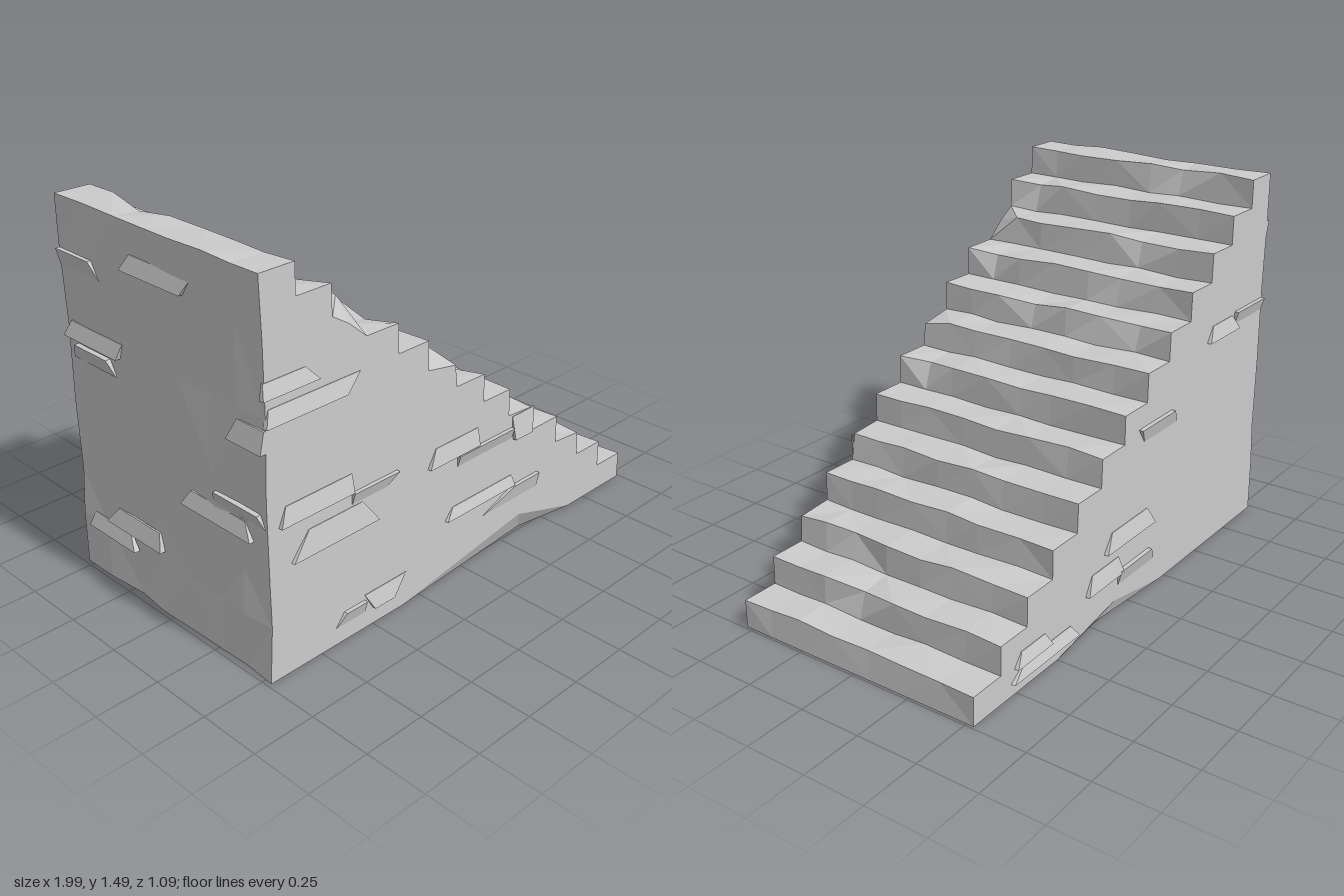
import * as THREE from 'three';

const STEPS = 13, RUN = 0.152, RISE = 0.1143, X0 = 0.99, BACK = -0.985, Z = 0.53;

// small seeded generator for the wear of the stone
function seeded(seed) {
  return () => {
    seed = (seed * 16807) % 2147483647;
    return seed / 2147483647;
  };
}

function toGeometry(tris) {
  const g = new THREE.BufferGeometry();
  g.setFromPoints(tris);
  g.computeVertexNormals();
  return g;
}

// adds a triangle turned to face the hint direction
function addFacing(tris, a, b, c, hint) {
  const n = b.clone().sub(a).cross(c.clone().sub(a));
  if (n.dot(hint) < 0) tris.push(a, c, b);
  else tris.push(a, b, c);
}

// flat polygon: outline in 2D, lifted to 3D by a function
function addPolygon(tris, outline, lift, hint) {
  for (const [a, b, c] of THREE.ShapeUtils.triangulateShape(outline, []))
    addFacing(tris, lift(outline[a]), lift(outline[b]), lift(outline[c]), hint);
}

// worn stair profile at every station across the width
function makeStations() {
  const rnd = seeded(4711);
  const zs = [Z, 0.4, 0.27, 0.1, -0.06, -0.2, -0.38, -Z];
  const chips = { 10: [0.08, 0.045], 7: [0.012, 0.025], 4: [0.02, 0.01], 2: [0.01, 0.012] };
  return zs.map((z, k) => {
    const end = k === 0 || k === zs.length - 1;
    const pts = [new THREE.Vector3(X0, 0, z)];
    for (let i = 0; i < STEPS; i++) {
      const deep = !end && rnd() > 0.88;
      let dx = rnd() * (end ? 0.004 : 0.014) + (deep ? 0.025 : 0);
      let dy = (rnd() - 0.4) * (end ? 0.003 : 0.013) + (deep ? 0.012 : 0);
      if (k === 0 && chips[i]) [dx, dy] = chips[i];
      const x = X0 - i * RUN, y = (i + 1) * RISE;
      pts.push(new THREE.Vector3(x - dx, y - dy, z));
      // inner corner, or the rear edge of the top step
      const last = i === STEPS - 1;
      pts.push(new THREE.Vector3(last ? BACK + rnd() * 0.015 : x - RUN, y + (end ? 0 : (rnd() - 0.5) * 0.012), z));
    }
    for (const y of [1.27, 1.0, 0.7, 0.4, 0.22, 0])
      pts.push(new THREE.Vector3(BACK + (y === 0 && end ? 0 : rnd() * 0.018), y, z));
    return pts;
  });
}

function makeBody() {
  const tris = [], st = makeStations(), n = st[0].length;
  // treads, risers and rear wall
  for (let k = 0; k < st.length - 1; k++)
    for (let j = 0; j < n - 1; j++) {
      const a = st[k][j], b = st[k][j + 1], c = st[k + 1][j + 1], d = st[k + 1][j];
      if ((j + k) % 3) tris.push(a, d, c, a, c, b);
      else tris.push(a, d, b, d, c, b);
    }
  // side walls, each with a broken-out dent along the base
  const dents = [
    { row: st[0], s: 1, a: [-0.35, 0], p: [0.32, 0.1], b: [0.65, 0], i: [0.38, 0.045] },
    { row: st[st.length - 1], s: -1, a: [-0.22, 0], p: [0.12, 0.06], b: [0.5, 0], i: [0.2, 0.03] },
  ];
  const base = [];
  for (const { row, s, a, p, b, i } of dents) {
    const outline = row.map((v) => new THREE.Vector2(v.x, v.y));
    outline.push(...[a, p, b].map((q) => new THREE.Vector2(...q)));
    addPolygon(tris, outline, (v) => new THREE.Vector3(v.x, v.y, s * Z), new THREE.Vector3(0, 0, s));
    const [A, P, B] = [a, p, b].map((q) => new THREE.Vector3(q[0], q[1], s * Z));
    const I = new THREE.Vector3(i[0], 0, s * (Z - i[1]));
    const hint = new THREE.Vector3(0, -0.5, s);
    addFacing(tris, A, I, P, hint);
    addFacing(tris, I, B, P, hint);
    base.push([A, I, B]);
  }
  // underside
  const rim = [st[0][0], ...base[0].slice().reverse(), ...st.map((r) => r[n - 1]), ...base[1], st[st.length - 1][0]];
  addPolygon(tris, rim.map((v) => new THREE.Vector2(v.x, v.z)),
    (v) => new THREE.Vector3(v.x, 0, v.y), new THREE.Vector3(0, -1, 0));
  return toGeometry(tris);
}

// wedge-shaped stone: bottom x0..x1 at y0, top x2..x3 at y1; one long edge stands out
function makeStone([x0, x1, y0, x2, x3, y1, topOut = 0], depth) {
  const q = [[x0, y0], [x1, y0], [x3, y1], [x2, y1]];
  const f = q.map(([x, y], i) => new THREE.Vector3(x, y, (i < 2) !== !!topOut ? depth : 0.002));
  const r = q.map(([x, y]) => new THREE.Vector3(x, y, -0.005));
  const tris = [f[0], f[1], f[2], f[0], f[2], f[3]];
  for (let i = 0; i < 4; i++) {
    const j = (i + 1) % 4;
    tris.push(r[i], r[j], f[j], r[i], f[j], f[i]);
  }
  return toGeometry(tris);
}

const FRONT = [
  [-0.99, -0.75, 1.07, -0.98, -0.8, 1.125], [-0.98, -0.63, 0.97, -0.96, -0.56, 1.03],
  [-0.93, -0.6, 0.59, -0.9, -0.6, 0.66], [-0.6, -0.43, 0.54, -0.6, -0.38, 0.585, 1],
  [-0.88, -0.48, 0.435, -0.8, -0.55, 0.53], [-0.22, 0.05, 0.52, -0.18, 0.05, 0.59],
  [-0.06, 0.25, 0.47, -0.06, 0.25, 0.515, 1], [0.26, 0.36, 0.46, 0.25, 0.38, 0.56],
  [-0.12, 0.27, 0.26, -0.08, 0.26, 0.305], [0.1, 0.42, 0.19, 0.27, 0.42, 0.255, 1],
  [-0.68, -0.54, 0.07, -0.64, -0.54, 0.12, 1], [-0.5, -0.4, 0.07, -0.54, -0.33, 0.14],
];
// horizontal coordinate runs toward the low end negatively here
const REAR = [
  [0.52, 0.76, 0.9, 0.56, 0.72, 0.96], [0.74, 0.97, 0.92, 0.74, 0.97, 0.97, 1],
  [0.06, 0.3, 0.65, 0.02, 0.26, 0.71, 1], [-0.2, 0.14, 0.29, -0.15, 0.1, 0.36],
  [-0.32, -0.08, 0.17, -0.28, -0.1, 0.24], [-0.1, 0.16, 0.12, -0.1, 0.12, 0.18, 1],
  [-0.76, -0.55, 0.1, -0.72, -0.58, 0.15], [-0.78, -0.38, 0.05, -0.7, -0.42, 0.1],
];
const WALL = [
  [-0.16, 0.16, 1.31, -0.12, 0.2, 1.37], [-0.53, -0.3, 1.22, -0.53, -0.34, 1.29, 1],
  [0.36, 0.53, 0.88, 0.4, 0.53, 0.96], [-0.53, -0.22, 0.96, -0.5, -0.2, 1.02],
  [-0.5, -0.25, 0.88, -0.47, -0.28, 0.94, 1], [0.1, 0.46, 0.53, 0.14, 0.42, 0.59],
  [0.26, 0.52, 0.6, 0.28, 0.5, 0.65, 1], [-0.36, -0.04, 0.26, -0.3, -0.06, 0.33],
  [-0.48, -0.2, 0.19, -0.46, -0.24, 0.25], 
];

export function createModel() {
  const model = new THREE.Group();
  model.name = 'stoneStaircase';
  const stone = new THREE.MeshStandardMaterial({ color: 0xcccccc, flatShading: true });

  const body = new THREE.Mesh(makeBody(), stone);
  body.name = 'stairBody';
  model.add(body);

  // protruding stones on the two sides and the rear wall
  const walls = [
    ['leftSideStones', FRONT, [0, 0, Z], 0, 0.016],
    ['rightSideStones', REAR, [0, 0, -Z], Math.PI, 0.018],
    ['rearWallStones', WALL, [-0.978, 0, 0], -Math.PI / 2, 0.02],
  ];
  for (const [name, list, pos, turn, depth] of walls) {
    const group = new THREE.Group();
    group.name = name;
    group.position.set(...pos);
    group.rotation.y = turn;
    list.forEach((s) => {
      const mesh = new THREE.Mesh(makeStone(s, depth), stone);
      mesh.name = 'wallStone';
      group.add(mesh);
    });
    model.add(group);
  }
  return model;
}
